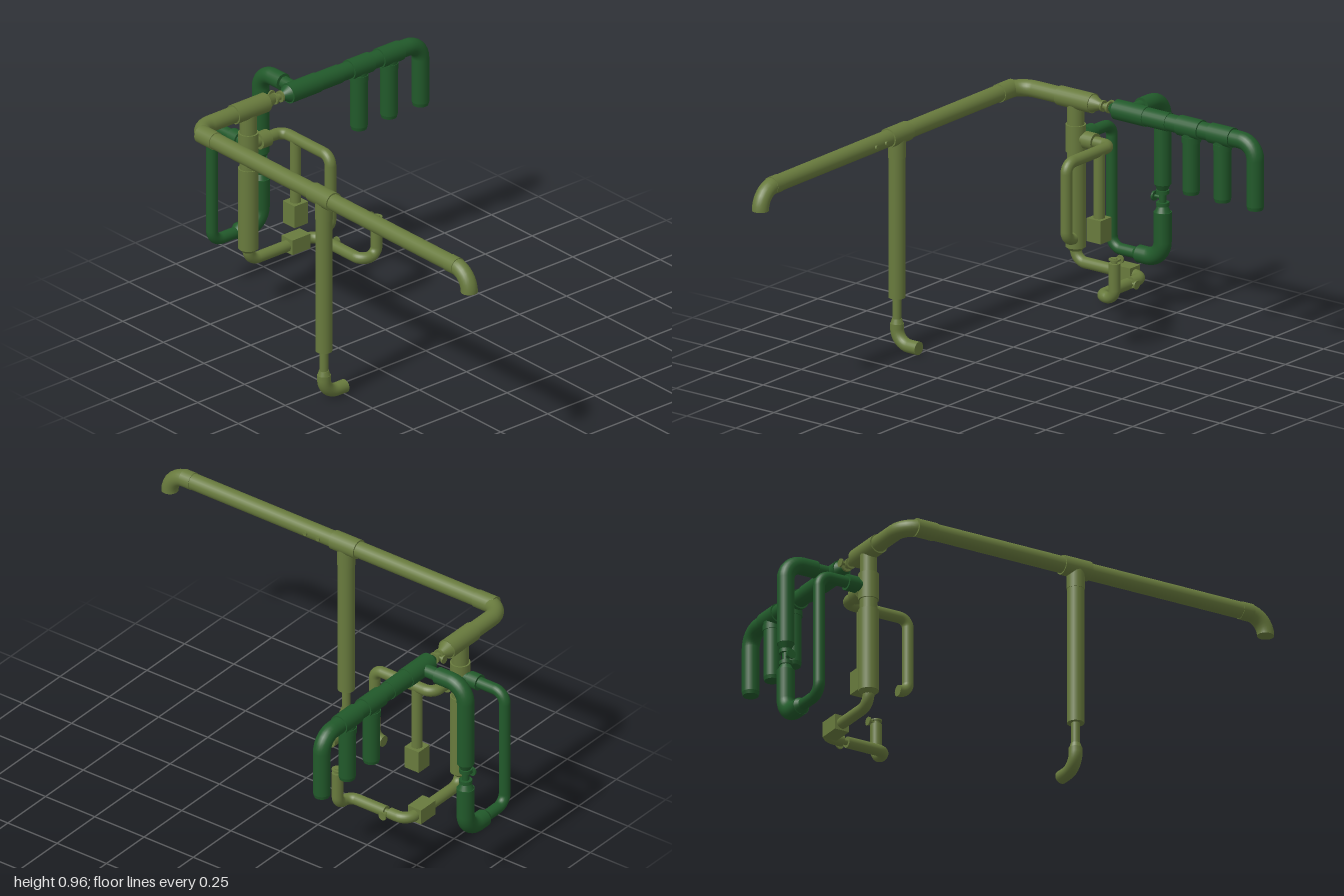
import * as THREE from 'three';

const V = (p) => new THREE.Vector3(...p);
const UP = new THREE.Vector3(0, 1, 0);

export function createModel() {
  const root = new THREE.Group();
  const olive = new THREE.MeshStandardMaterial({ color: 0x687a3d });
  const green = new THREE.MeshStandardMaterial({ color: 0x21592a });

  const add = (parent, name, geo, mat) => {
    const m = new THREE.Mesh(geo, mat);
    m.name = name;
    parent.add(m);
    return m;
  };

  // Straight capped cylinder or cone between two points
  const rod = (parent, name, mat, a, b, ra, rb = ra) => {
    const p = V(a), q = V(b), d = q.clone().sub(p);
    const m = add(parent, name, new THREE.CylinderGeometry(rb, ra, d.length(), 24), mat);
    m.position.copy(p).add(q).multiplyScalar(0.5);
    m.quaternion.setFromUnitVectors(UP, d.normalize());
    return m;
  };

  // Pipe run through points, with rounded elbows at the corners
  const run = (name, mat, r, bend, pts) => {
    const g = new THREE.Group();
    g.name = name;
    root.add(g);
    let from = V(pts[0]);
    for (let i = 1; i < pts.length; i++) {
      const c = V(pts[i]);
      if (i === pts.length - 1) {
        rod(g, 'pipe', mat, from.toArray(), c.toArray(), r);
        break;
      }
      const din = c.clone().sub(V(pts[i - 1])).normalize();
      const dout = V(pts[i + 1]).sub(c).normalize();
      const s = c.clone().addScaledVector(din, -bend);
      const e = c.clone().addScaledVector(dout, bend);
      rod(g, 'pipe', mat, from.toArray(), s.toArray(), r);
      const arc = new THREE.CubicBezierCurve3(s, s.clone().addScaledVector(din, bend * 0.55),
        e.clone().addScaledVector(dout, -bend * 0.55), e);
      add(g, 'elbow', new THREE.TubeGeometry(arc, 8, r, 24), mat);
      from = e;
    }
    return g;
  };

  const box = (name, mat, size, pos) =>
    add(root, name, new THREE.BoxGeometry(...size), mat).position.set(...pos);

  // Small valve: slim body, two flanges, stem and handle disc
  const valve = (name, mat, pos, axis, side, r, half) => {
    const g = new THREE.Group();
    g.name = name;
    root.add(g);
    const c = V(pos), a = V(axis), s = V(side);
    const at = (u, v) => c.clone().addScaledVector(a, u).addScaledVector(s, v).toArray();
    rod(g, 'body', mat, at(-half, 0), at(half, 0), r * 0.55);
    for (const k of [-1, 1]) rod(g, 'flange', mat, at(k * half * 0.75, 0), at(k * half * 0.4, 0), r);
    rod(g, 'stem', mat, at(0, 0), at(0, r * 1.7), r * 0.28);
    rod(g, 'handle', mat, at(0, r * 1.4), at(0, r * 1.7), r * 0.75);
  };

  const X = -0.735, Y = 0.915, GX = -0.965, GZ = 0.045;

  // Long olive header with corner and end elbows
  run('mainHeader', olive, 0.035, 0.085,
    [[X, Y, 0.23], [X, Y, 0.6], [0.96, Y, 0.6], [0.96, 0.85, 0.6]].map((p, i) => i === 3 ? [0.96, 0.829, 0.6] : p))
    .children.at(-1).visible = true;
  rod(root, 'cornerSleeve', olive, [-0.69, Y, 0.6], [-0.6, Y, 0.6], 0.038);
  rod(root, 'endSleeve', olive, [0.84, Y, 0.6], [0.89, Y, 0.6], 0.037);
  rod(root, 'headerTee', olive, [0.0, Y, 0.6], [0.125, Y, 0.6], 0.041);
  rod(root, 'columnTee', olive, [X, Y, 0.39], [X, Y, 0.22], 0.041);
  for (const x of [0.18, 0.245]) rod(root, 'nozzle', olive, [x, Y, 0.6], [x, Y, 0.558], 0.009);

  // Drop pipe with reducer and outlet bend
  const dx = 0.065;
  rod(root, 'dropSleeve', olive, [dx, Y, 0.6], [dx, 0.82, 0.6], 0.037);
  rod(root, 'dropPipe', olive, [dx, 0.83, 0.6], [dx, 0.225, 0.6], 0.035);
  rod(root, 'dropNeck', olive, [dx, 0.23, 0.6], [dx, 0.11, 0.6], 0.018);
  rod(root, 'dropReducer', olive, [dx, 0.135, 0.6], [dx, 0.11, 0.6], 0.02, 0.028);
  run('outlet', olive, 0.028, 0.065, [[dx, 0.115, 0.6], [dx, 0.029, 0.6], [dx, 0.029, 0.488]]);

  // Valve between the olive and green headers
  rod(root, 'valveCone', olive, [X, Y, 0.22], [X, Y, 0.175], 0.037, 0.016);
  rod(root, 'valveCone', green, [X, Y, 0.1], [X, Y, 0.132], 0.037, 0.016);
  valve('headerValve', olive, [X, Y, 0.154], [0, 0, 1], [-1, 0, 0], 0.024, 0.026);

  // Green header, its tees and three drops
  run('greenHeader', green, 0.036, 0.07, [[X, Y, 0.1], [X, Y, -0.608], [X, 0.65, -0.608]]);
  for (const [a, b, r] of [[0.1, -0.055, 0.042], [-0.055, -0.17, 0.039], [-0.225, -0.335, 0.042],
    [-0.385, -0.495, 0.042]]) rod(root, 'greenSleeve', green, [X, Y, a], [X, Y, b], r);
  for (const z of [-0.28, -0.44, -0.608]) {
    if (z > -0.5) {
      rod(root, 'greenDrop', green, [X, Y, z], [X, 0.65, z], 0.036);
      rod(root, 'dropCollar', green, [X, 0.88, z], [X, 0.855, z], 0.039);
    }
    rod(root, 'dropTip', green, [X, 0.651, z], [X, 0.635, z], 0.036, 0.032);
  }

  // Green side branch going down with a valve
  rod(root, 'branchNeck', green, [X, Y, GZ], [-0.82, Y, GZ], 0.027);
  run('greenRiser', green, 0.036, 0.075, [[-0.825, Y, GZ], [GX, Y, GZ], [GX, 0.55, GZ]]);
  rod(root, 'riserCone', green, [GX, 0.551, GZ], [GX, 0.525, GZ], 0.034, 0.022);
  valve('riserValve', green, [GX, 0.49, GZ], [0, 1, 0], [0, 0, 1], 0.027, 0.045);
  rod(root, 'riserCone', green, [GX, 0.455, GZ], [GX, 0.43, GZ], 0.022, 0.034);
  run('lowerBend', green, 0.037, 0.075, [[GX, 0.431, GZ], [GX, 0.228, GZ], [GX, 0.228, 0.165]]);
  rod(root, 'lowerReducer', green, [GX, 0.228, 0.164], [GX, 0.228, 0.185], 0.036, 0.023);

  // Thin green return loop to the olive column
  run('returnLoop', green, 0.024, 0.05,
    [[GX, 0.228, 0.17], [GX, 0.228, 0.305], [GX, 0.753, 0.305], [X, 0.753, 0.305]]);
  rod(root, 'returnUnion', green, [-0.838, 0.753, 0.305], [-0.79, 0.753, 0.305], 0.034);

  // Olive column with stepped diameters
  for (const [a, b, r] of [[Y, 0.8, 0.035], [0.81, 0.695, 0.042], [0.7, 0.645, 0.036], [0.65, 0.29, 0.042]])
    rod(root, 'column', olive, [X, a, 0.31], [X, b, 0.31], r);
  rod(root, 'columnReducer', olive, [X, 0.291, 0.31], [X, 0.275, 0.31], 0.04, 0.026);

  // Bottom branch: block, valve and upturned end
  run('bottomBranch', olive, 0.024, 0.05, [[X, 0.3, 0.31], [X, 0.23, 0.31], [X, 0.23, -0.04], [-0.655, 0.23, -0.04]]);
  box('branchBlock', olive, [0.066, 0.066, 0.097], [X, 0.232, 0.055]);
  valve('branchValve', olive, [-0.637, 0.23, -0.04], [1, 0, 0], [0, 0, -1], 0.024, 0.026);
  run('upturn', olive, 0.024, 0.04,
    [[-0.62, 0.23, -0.04], [-0.44, 0.23, -0.04], [-0.44, 0.23, -0.118], [-0.44, 0.378, -0.118]]);
  valve('upturnValve', olive, [-0.44, 0.39, -0.118], [0, 1, 0], [-1, 0, 0], 0.024, 0.016);

  // Upper branch: union, hanging block and hooked end
  rod(root, 'upperUnion', olive, [X, 0.753, 0.258], [X, 0.753, 0.208], 0.036);
  run('upperBranch', olive, 0.024, 0.04, [[X, 0.753, 0.31], [X, 0.753, 0.128], [-0.44, 0.753, 0.128],
    [-0.44, 0.426, 0.128], [-0.487, 0.426, 0.128]]);
  rod(root, 'hanger', olive, [-0.655, 0.753, 0.128], [-0.655, 0.46, 0.128], 0.023);
  box('hangerBlock', olive, [0.072, 0.098, 0.072], [-0.655, 0.421, 0.128]);

  return root;
}
